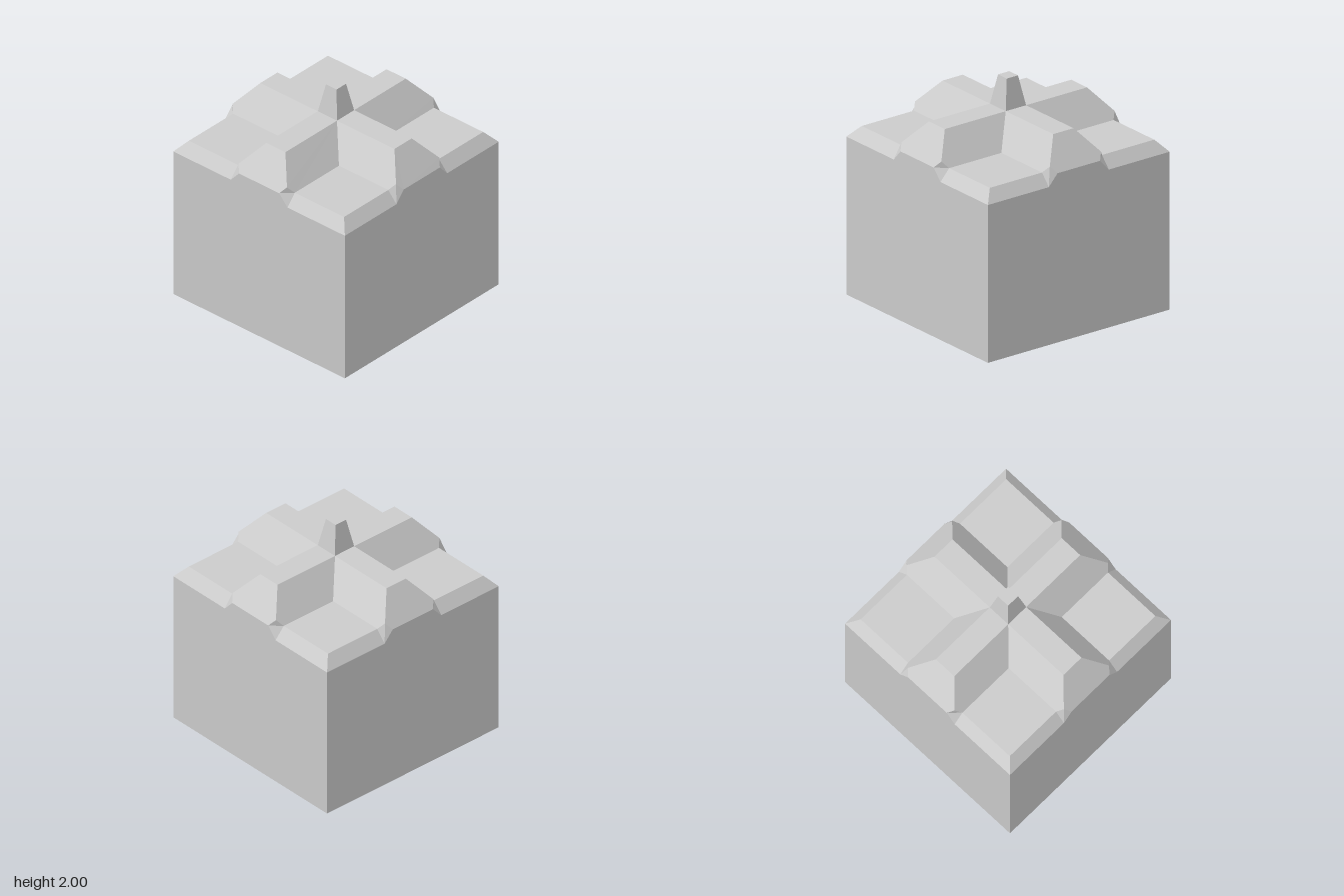
import * as THREE from 'three';

// Half widths and heights
const H = 0.94, PAD = 0.85, FOOT = 0.31, RIDGE = 0.105, END = 0.735, CUT = 0.22;
const LOW = 1.39, MID = 1.49, TOP = 1.74, PEAK = 2;

const material = new THREE.MeshStandardMaterial({ color: 0xcccccc, flatShading: true });

// Mesh from convex polygons, each a counter-clockwise list of [x, y, z] corners
function facets(name, polygons) {
  const pos = [];
  for (const p of polygons)
    for (let i = 1; i < p.length - 1; i++) pos.push(...p[0], ...p[i], ...p[i + 1]);
  const g = new THREE.BufferGeometry();
  g.setAttribute('position', new THREE.Float32BufferAttribute(pos, 3));
  g.computeVertexNormals();
  const mesh = new THREE.Mesh(g, material);
  mesh.name = name;
  return mesh;
}

// Mirror a polygon in x, keeping it facing outwards
const mirror = (p) => p.map(([x, y, z]) => [-x, y, z]).reverse();

function createQuarter() {
  const quarter = new THREE.Group();

  // Corners of the cut where a ridge meets the block's edge
  const hip = [0.265, 1.545, 0.895], toe = [CUT, MID, H];
  const padCorner = [FOOT, MID, PAD], foot = [FOOT, LOW, H];
  const [hipL, toeL, padL, footL] = [hip, toe, padCorner, foot].map(([x, y, z]) => [-x, y, z]);

  // Block wall
  quarter.add(facets('wall', [
    [[-H, 0, H], [H, 0, H], [H, LOW, H], foot, toe, toeL, footL, [-H, LOW, H]],
  ]));

  // Ridge: flat top, sloped end and two sloped flanks
  const flank = [[RIDGE, TOP, RIDGE], [RIDGE, TOP, END], hip, padCorner, [FOOT, MID, FOOT]];
  quarter.add(facets('ridge', [
    [[-RIDGE, TOP, END], [RIDGE, TOP, END], [RIDGE, TOP, RIDGE], [-RIDGE, TOP, RIDGE]],
    [toeL, toe, hip, [RIDGE, TOP, END], [-RIDGE, TOP, END], hipL],
    flank, mirror(flank),
  ]));

  // Notches either side of the ridge end
  quarter.add(facets('notches', [
    [toe, padCorner, hip], [toe, foot, padCorner],
    [footL, toeL, hipL], [footL, hipL, padL],
  ]));

  // Corner pad with two bevelled outer edges
  quarter.add(facets('cornerPad', [
    [[FOOT, MID, FOOT], padCorner, [PAD, MID, PAD], [PAD, MID, FOOT]],
    [foot, [H, LOW, H], [PAD, MID, PAD], padCorner],
    [[H, LOW, H], [H, LOW, FOOT], [PAD, MID, FOOT], [PAD, MID, PAD]],
  ]));
  return quarter;
}

export function createModel() {
  const model = new THREE.Group();
  model.name = 'ridgedBlock';

  for (let i = 0; i < 4; i++) {
    const quarter = createQuarter();
    quarter.name = `quarter${i + 1}`;
    quarter.rotation.y = i * Math.PI / 2;
    model.add(quarter);
  }

  // Underside
  model.add(facets('underside', [[[-H, 0, -H], [H, 0, -H], [H, 0, H], [-H, 0, H]]]));

  // Tapered square spire at the crossing
  const spire = new THREE.Mesh(
    new THREE.CylinderGeometry(0.058 * Math.SQRT2, RIDGE * Math.SQRT2, PEAK - TOP, 4).rotateY(Math.PI / 4),
    material,
  );
  spire.name = 'spire';
  spire.position.y = (PEAK + TOP) / 2;
  model.add(spire);

  return model;
}
